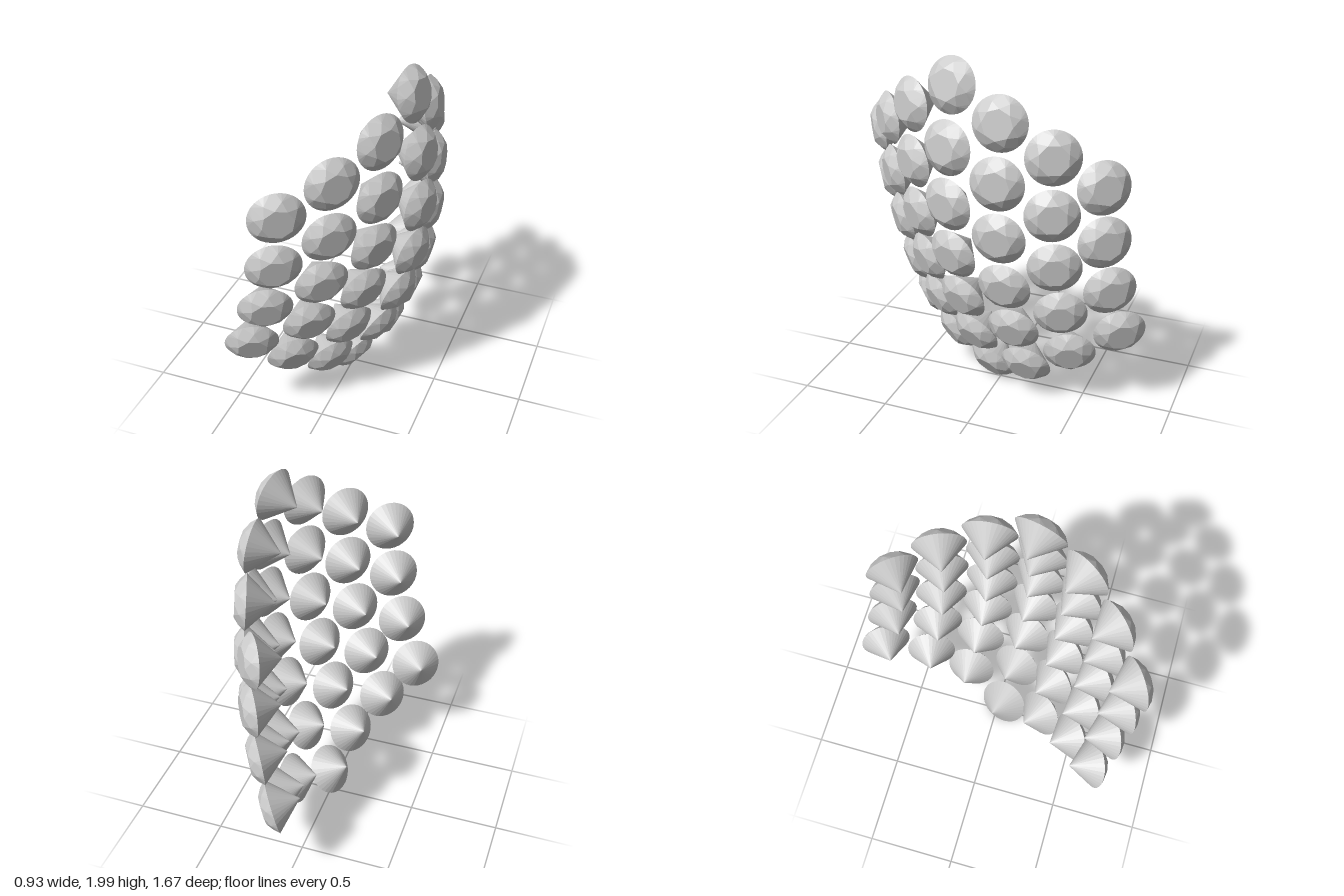
import * as THREE from 'three';

const RADIUS = 0.143;

// Round brilliant gem: girdle at y = 0, table up, point down.
function gemGeometry() {
  const sides = 32, cuts = 8, step = sides / cuts;
  const ring = (n, r, h, shift = 0) => (i) => {
    const a = ((i + shift) / n) * Math.PI * 2;
    return [r * Math.sin(a), h, r * Math.cos(a)];
  };
  const girdle = ring(sides, RADIUS, 0);
  const kite = ring(cuts, 0.115, 0.032, 0.5);
  const table = ring(cuts, 0.08, 0.055);
  const p = [];
  const tri = (a, b, c) => p.push(...a, ...b, ...c);
  for (let k = 0; k < cuts; k++) {
    const g = girdle(k * step);
    tri([0, 0.055, 0], table(k), table(k + 1));
    tri(table(k), kite(k), table(k + 1));
    tri(table(k), kite(k - 1), g);
    tri(table(k), g, kite(k));
    for (let j = k * step; j < (k + 1) * step; j++) {
      tri(kite(k), girdle(j), girdle(j + 1));
      tri(girdle(j + 1), girdle(j), [0, -0.15, 0]);
    }
  }
  const geo = new THREE.BufferGeometry();
  geo.setAttribute('position', new THREE.Float32BufferAttribute(p, 3));
  geo.computeVertexNormals();
  return geo;
}

// Columns of the curved honeycomb: gem count, facing angle, and top, middle and bottom points.
const COLUMNS = [
  [4, 56, [-0.10, 1.425, 0.747], [-0.17, 0.982, 0.714], [-0.32, 0.56, 0.657]],
  [5, 45, [0.116, 1.563, 0.583], [0.04, 0.964, 0.556], [-0.16, 0.403, 0.498]],
  [6, 31, [0.28, 1.711, 0.376], [0.222, 0.962, 0.356], [-0.03, 0.265, 0.286]],
  [7, 13, [0.355, 1.86, 0.12], [0.375, 0.96, 0.12], [0.02, 0.13, 0.04]],
  [6, -5, [0.37, 1.70, -0.138], [0.375, 0.95, -0.144], [0.15, 0.238, -0.207]],
  [5, -22, [0.31, 1.536, -0.392], [0.30, 0.938, -0.408], [0.15, 0.366, -0.456]],
  [4, -36, [0.19, 1.367, -0.62], [0.185, 0.932, -0.65], [0.08, 0.509, -0.71]],
];

export function createModel() {
  const model = new THREE.Group();
  model.name = 'gemCluster';
  const geo = gemGeometry();
  const mat = new THREE.MeshStandardMaterial({ color: 0xcccccc, flatShading: true });
  const up = new THREE.Vector3(0, 1, 0);

  COLUMNS.forEach(([count, facing, ...pts], c) => {
    const column = new THREE.Group();
    column.name = `gemColumn${c + 1}`;
    const [a, m, b] = pts.map((v) => new THREE.Vector3(...v));
    // The control point makes the curve pass through the middle point.
    const control = m.multiplyScalar(2).addScaledVector(a, -0.5).addScaledVector(b, -0.5);
    const curve = new THREE.QuadraticBezierCurve3(a, control, b);
    for (let i = 0; i < count; i++) {
      const t = i / (count - 1);
      const az = THREE.MathUtils.degToRad(facing + 6 * t);
      // Each gem faces out from the curved surface.
      const across = new THREE.Vector3(-Math.sin(az), 0, Math.cos(az));
      const normal = across.cross(curve.getTangent(t)).normalize();
      const gem = new THREE.Mesh(geo, mat);
      gem.name = `gem${c + 1}_${i + 1}`;
      gem.position.copy(curve.getPoint(t));
      gem.quaternion.setFromUnitVectors(up, normal);
      column.add(gem);
    }
    model.add(column);
  });
  return model;
}
